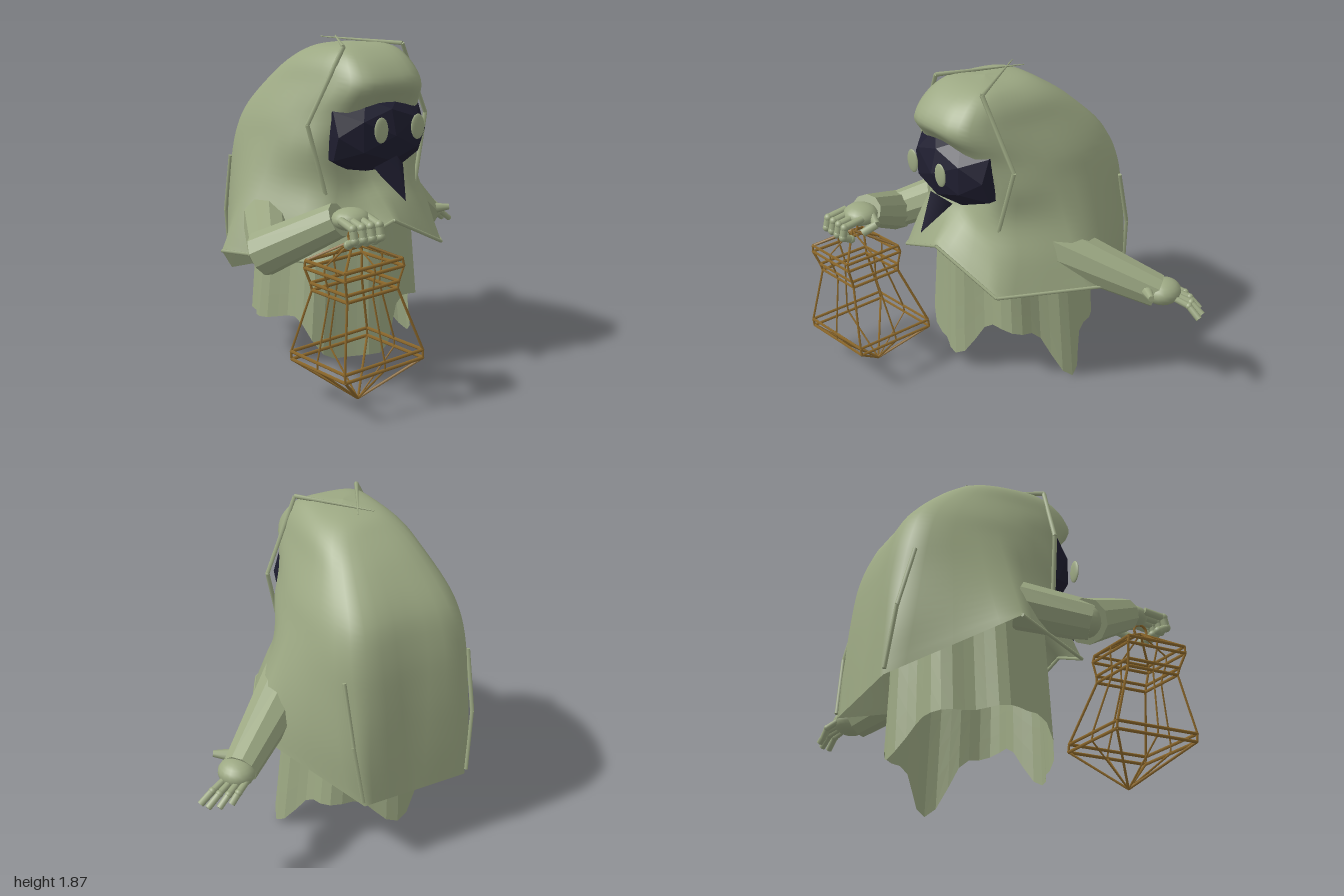
import * as THREE from 'three';

const V = (x, y, z) => new THREE.Vector3(x, y, z);
const material = (name, color, side = THREE.FrontSide) => {
  const m = new THREE.MeshStandardMaterial({ color, side });
  m.name = name;
  return m;
};

export function createModel() {
  const cloth = material('sage cloth', 0x9ca883, THREE.DoubleSide);
  const dark = material('dark face', 0x1f1e30);
  const brass = material('brass', 0x8f6a2c);

  const model = new THREE.Group();
  model.name = 'hoodedFigure';
  const body = new THREE.Group();
  body.name = 'body';
  body.position.x = -0.2;
  model.add(body);

  const add = (parent, name, geo, mat) => {
    const mesh = new THREE.Mesh(geo, mat);
    mesh.name = name;
    parent.add(mesh);
    return mesh;
  };
  // Tapered rod between two points
  const rod = (parent, name, a, b, r0, r1, mat, sides = 6) => {
    const mesh = add(parent, name, new THREE.CylinderGeometry(r1, r0, a.distanceTo(b), sides), mat);
    mesh.position.copy(a).add(b).multiplyScalar(0.5);
    mesh.quaternion.setFromUnitVectors(V(0, 1, 0), b.clone().sub(a).normalize());
    return mesh;
  };
  // Faceted rod for the stiff sleeves
  const sleeve = (parent, name, a, b, r0, r1) => {
    const mesh = rod(parent, name, a, b, r0, r1, cloth, 10);
    mesh.geometry = mesh.geometry.toNonIndexed();
    mesh.geometry.computeVertexNormals();
  };
  const ball = (parent, name, p, sx, sy, sz, mat) => {
    const mesh = add(parent, name, new THREE.SphereGeometry(1, 18, 12), mat);
    mesh.position.copy(p);
    mesh.scale.set(sx, sy, sz);
  };
  const chain = (parent, name, pts, r, mat, sides = 6) => {
    for (let i = 0; i < pts.length - 1; i++) rod(parent, name, pts[i], pts[i + 1], r, r, mat, sides);
  };
  const mesh3 = (pos, idx) => {
    const g = new THREE.BufferGeometry();
    g.setAttribute('position', new THREE.Float32BufferAttribute(pos, 3));
    g.setIndex(idx);
    return g;
  };

  // Hooded cape: half sections (front, front corner, side, back corner, back), hem to crown.
  // The front is recessed below the brow to seat the face.
  const rows = [
    [[0, .9, .38], [.42, .7, .28], [.73, .71, -.25], [.33, .42, -.84], [0, .42, -.84]],
    [[0, 1, .27], [.38, .9, .21], [.64, .9, -.25], [.36, .7, -.81], [0, .7, -.82]],
    [[0, 1.1, .17], [.31, 1.1, .17], [.55, 1.1, -.25], [.36, 1, -.77], [0, 1, -.79]],
    [[0, 1.33, .12], [.33, 1.3, .17], [.47, 1.3, -.25], [.36, 1.25, -.72], [0, 1.25, -.75]],
    [[0, 1.57, .33], [.29, 1.48, .21], [.42, 1.45, -.22], [.33, 1.43, -.65], [0, 1.45, -.68]],
    [[0, 1.65, .385], [.24, 1.65, .31], [.33, 1.63, -.15], [.27, 1.62, -.48], [0, 1.65, -.51]],
    [[0, 1.76, .32], [.21, 1.77, .24], [.265, 1.76, -.1], [.2, 1.76, -.32], [0, 1.77, -.35]],
    [[0, 1.84, .18], [.16, 1.84, .14], [.175, 1.83, -.05], [.12, 1.83, -.2], [0, 1.83, -.24]],
    Array(5).fill([0, 1.86, 0]),
  ];
  const N = 32, S = 5, R = (rows.length - 1) * S;
  const rings = rows.map((h, k) => {
    const pts = [...h, ...[3, 2, 1].map(i => [-h[i][0], h[i][1], h[i][2]])].map(p => V(...p));
    return new THREE.CatmullRomCurve3(pts, true, 'catmullrom', Math.min(.5, k * .2));
  });
  const pos = [], idx = [];
  const columns = Array.from({ length: N }, (_, i) =>
    new THREE.CatmullRomCurve3(rings.map(r => r.getPoint(i / N))));
  for (let j = 0; j <= R; j++) for (let i = 0; i < N; i++) {
    const p = columns[i].getPoint(j / R);
    pos.push(p.x, p.y, p.z);
    if (j === R) continue;
    const a = j * N + i, b = j * N + (i + 1) % N;
    idx.push(a, b, a + N, b, b + N, a + N);
  }
  const cape = mesh3(pos, idx);
  cape.computeVertexNormals();
  add(body, 'hoodedCape', cape, cloth);

  // Pleated robe with a scalloped hem, faceted; hem heights every 30 degrees from the front
  const hem = [.1, .38, .34, .01, .24, .26, .1, .27, .27, .3, .33, .09];
  const rp = [], ri = [], M = 48, L = 5;
  for (let j = 0; j <= L; j++) for (let i = 0; i < M; i++) {
    const t = i / M * 12, k = Math.floor(t), f = (1 - Math.cos((t - k) * Math.PI)) / 2;
    const low = hem[k] + (hem[(k + 1) % 12] - hem[k]) * f;
    const y = low + (.95 - low) * j / L;
    const th = i / M * Math.PI * 2, pleat = 1 + .055 * Math.cos(th * 8);
    const flare = 1 + .25 * (1 - y);
    rp.push(Math.sin(th) * .42 * flare * pleat, y, -.21 + Math.cos(th) * .42 * pleat * (1 + .05 * (1 - y)));
    if (j === L) continue;
    const a = j * M + i, b = j * M + (i + 1) % M;
    ri.push(a, b, a + M, b, b + M, a + M);
  }
  const robe = mesh3(rp, ri).toNonIndexed();
  robe.computeVertexNormals();
  add(body, 'robe', robe, cloth);

  // Faceted, squarish face with a beak and floating eyes
  const faceGeo = new THREE.IcosahedronGeometry(1, 1);
  const fp = faceGeo.attributes.position;
  const clamp = THREE.MathUtils.clamp;
  for (let i = 0; i < fp.count; i++)
    fp.setXYZ(i, clamp(fp.getX(i) * .36, -.295, .295), clamp(fp.getY(i) * .27, -.2, .2), fp.getZ(i) * .26);
  faceGeo.computeVertexNormals();
  add(body, 'face', faceGeo, dark).position.set(0, 1.375, .14);
  rod(body, 'beak', V(0, 1.2, .33), V(0, 1.03, .485), .1, .001, dark, 4);

  for (const s of [-1, 1]) {
    ball(body, 'eye', V(s * .123, 1.42, .43), .046, .07, .012, cloth);
    // Trim round the hood, along the hem and down the back folds
    const trim = [V(s * .2, 1.85, .19), V(s * .405, 1.44, .14), V(s * .31, 1.05, .17)];
    rod(body, 'hoodTrim', V(s * -.05, 1.87, -.25), trim[0], .003, .013, cloth);
    chain(body, 'hoodTrim', trim, .013, cloth);
    chain(body, 'hemTrim', [V(0, .9, .38), V(s * .42, .7, .28), V(s * .73, .71, -.25)], .01, cloth);
    chain(body, 'backFold', [V(s * .395, 1.15, -.71), V(s * .385, .8, -.8), V(s * .34, .45, -.84)], .012, cloth);
  }

  // Left arm, stretched out and back
  const leftArm = new THREE.Group();
  leftArm.name = 'leftArm';
  model.add(leftArm);
  sleeve(leftArm, 'sleeve', V(.13, .945, -.07), V(.72, .665, -.51), .165, .1);
  ball(leftArm, 'palm', V(.75, .67, -.53), .1, .075, .11, cloth);
  const tips = [[.99, .57, -.58], [.97, .57, -.63], [.92, .575, -.665], [.85, .58, -.67]];
  tips.forEach((t, i) => {
    const base = V(.8 - i * .022, .66, -.53 - i * .03);
    const mid = base.clone().lerp(V(...t), .6).add(V(0, .02, -.012));
    chain(leftArm, 'finger', [base, mid, V(...t)], .019, cloth, 8);
    ball(leftArm, 'knuckle', mid, .021, .021, .021, cloth);
  });
  rod(leftArm, 'thumb', V(.7, .7, -.43), V(.81, .71, -.365), .04, .018, cloth, 8);

  // Right arm, bent forward to hold the lantern
  const rightArm = new THREE.Group();
  rightArm.name = 'rightArm';
  model.add(rightArm);
  const elbow = V(-.885, .79, .17);
  sleeve(rightArm, 'upperSleeve', V(-.7, .89, -.15), V(-.89, .785, .19), .13, .11);
  sleeve(rightArm, 'foreSleeve', V(-.905, .77, .14), V(-.67, 1, .53), .125, .095);
  ball(rightArm, 'elbow', elbow, .1, .1, .1, cloth);
  ball(rightArm, 'palm', V(-.64, 1.01, .59), .105, .06, .1, cloth);
  for (let i = 0; i < 4; i++) {
    const x = -.74 + i * .055;
    const pts = [V(x + .01, 1.02, .63), V(x, 1, .75), V(x, .94, .765), V(x, .91, .71)];
    chain(rightArm, 'finger', pts, .022, cloth, 8);
    for (const p of pts.slice(1)) ball(rightArm, 'knuckle', p, .024, .024, .024, cloth);
  }
  chain(rightArm, 'thumb', [V(-.57, 1.02, .56), V(-.5, .99, .58), V(-.53, .95, .66)], .024, cloth, 8);

  // Open-frame lantern: square hoops joined by struts, tapering to both ends
  const lantern = new THREE.Group();
  lantern.name = 'lantern';
  model.add(lantern);
  const axis = y => V(-.58 - .09 * y, y, .565 + .085 * y);
  const frame = (y, h) => [[-1, -1], [0, -1], [1, -1], [1, 0], [1, 1], [0, 1], [-1, 1], [-1, 0]]
    .map(([x, z]) => axis(y).add(V(x * h, (x * .07 + z * .02) * h, z * h)));
  const levels = [[.245, .25], [.29, .25], [.64, .16], [.68, .165], [.765, .185], [.805, .18]];
  const hoops = levels.map(([y, h]) => frame(y, h));
  const top = axis(.91), tip = axis(.01);
  for (const h of hoops) for (let i = 0; i < 8; i += 2)
    rod(lantern, 'hoop', h[i], h[(i + 2) % 8], .01, .01, brass, 4);
  for (let i = 0; i < 8; i++)
    chain(lantern, 'strut', [tip, ...hoops.map(h => h[i]), top], i % 2 ? .006 : .008, brass, 4);
  const ring = add(lantern, 'handleRing', new THREE.TorusGeometry(.04, .008, 6, 16), brass);
  ring.position.copy(top).add(V(0, .015, 0));
  ring.rotation.y = Math.PI / 2;

  return model;
}
